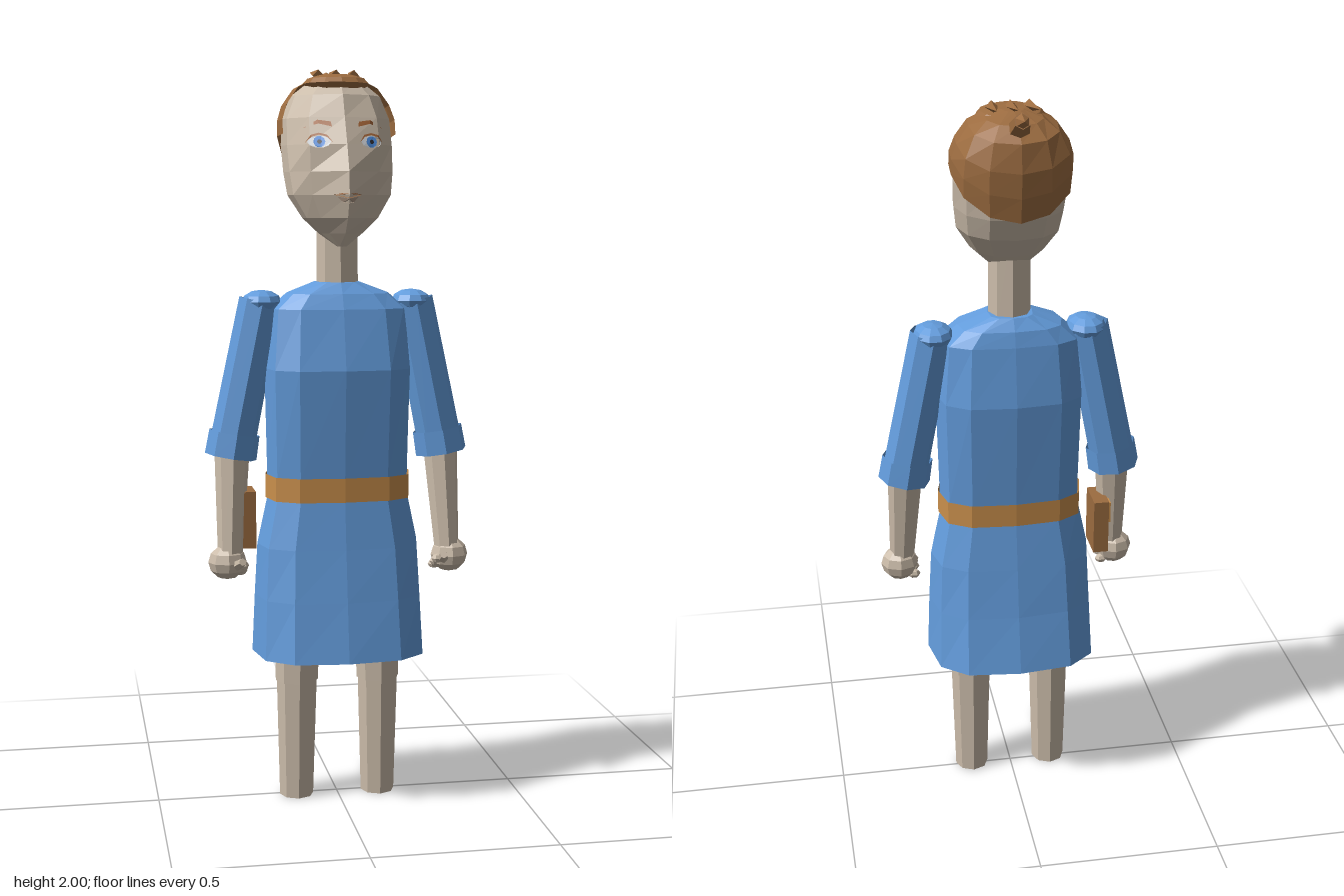
import * as THREE from 'three';

const mat = (name, color) => {
  const m = new THREE.MeshStandardMaterial({ color, flatShading: true, side: THREE.DoubleSide });
  m.name = name;
  return m;
};
const V = (x, y, z) => new THREE.Vector3(x, y, z);

// Surface from equal-length rows of points; wrap joins row ends, caps close bottom and top
function loft(rows, wrap = true, capBottom = false, capTop = false) {
  const pos = [], n = rows[0].length;
  const tri = (...p) => p.forEach(v => pos.push(v.x, v.y, v.z));
  for (let r = 0; r < rows.length - 1; r++) {
    for (let i = 0; i < (wrap ? n : n - 1); i++) {
      const j = (i + 1) % n, lo = rows[r], hi = rows[r + 1];
      tri(lo[i], lo[j], hi[j]);
      tri(lo[i], hi[j], hi[i]);
    }
  }
  const cap = (row, up) => {
    const c = row.reduce((s, p) => s.add(p), V(0, 0, 0)).divideScalar(n);
    for (let i = 0; i < n; i++) {
      const a = row[i], b = row[(i + 1) % n];
      up ? tri(c, a, b) : tri(c, b, a);
    }
  };
  if (capBottom) cap(rows[0], false);
  if (capTop) cap(rows[rows.length - 1], true);
  const g = new THREE.BufferGeometry();
  g.setAttribute('position', new THREE.Float32BufferAttribute(pos, 3));
  g.computeVertexNormals();
  return g;
}

// Linear blend in a table of [y, halfWidth, zFront, zBack, ...]
function sample(table, y) {
  let i = 0;
  while (i < table.length - 2 && y > table[i + 1][0]) i++;
  const a = table[i], b = table[i + 1];
  const t = THREE.MathUtils.clamp((y - a[0]) / (b[0] - a[0]), 0, 1);
  return a.map((v, k) => v + (b[k] - v) * t);
}

// Mirrors a half outline (front to back along +x) into a full ring
const mirrorHalf = half => [...half, ...half.slice(1, -1).reverse().map(([u, v]) => [-u, v])];
const place = ([y, w, f, b], [u, v]) => V(u * w, y, (f + b) / 2 + v * (f - b) / 2);

const tunicOutline = mirrorHalf([[0, 1], [0.61, 0.92], [0.91, 0.63], [1, 0], [0.91, -0.63], [0.61, -0.92], [0, -1]]);
const tunicRows = [
  [0.42, 0.237, 0.205, -0.185], [0.58, 0.23, 0.178, -0.15], [0.72, 0.222, 0.155, -0.126], [0.85, 0.194, 0.136, -0.103],
  [0.91, 0.194, 0.136, -0.103], [1.2, 0.2, 0.153, -0.115], [1.36, 0.186, 0.115, -0.09], [1.4, 0.14, 0.095, -0.078],
  [1.43, 0.06, 0.07, -0.055],
];

// Last column: how far forward the cheeks sit
const headRows = [
  [1.525, 0.012, 0.1, 0.07, 0.5], [1.56, 0.058, 0.138, -0.02, 0.5], [1.6, 0.1, 0.175, -0.06, 0.5],
  [1.66, 0.137, 0.2, -0.115, 0.52], [1.72, 0.145, 0.193, -0.145, 0.62], [1.79, 0.148, 0.163, -0.163, 0.78],
  [1.86, 0.145, 0.127, -0.163, 0.8], [1.92, 0.12, 0.098, -0.14, 0.75], [1.955, 0.075, 0.06, -0.1, 0.75],
];
const headHalf = c => [[0, 1], [0.62, c], [0.95, 0.3], [1, -0.1], [0.85, -0.6], [0.5, -0.9], [0, -1]];
const hairRows = [
  [1.72, 0.15, 0.19, -0.166], [1.8, 0.156, 0.15, -0.178], [1.86, 0.155, 0.13, -0.18], [1.92, 0.134, 0.1, -0.17],
  [1.955, 0.095, 0.08, -0.13], [1.975, 0.03, 0.02, -0.07],
];

// Depth of the face at a given x and y
function faceZ(x, y) {
  const row = sample(headRows, y), pts = headHalf(row[4]).map(p => place(row, p));
  const ax = Math.abs(x), i = ax < pts[1].x ? 0 : 1;
  return THREE.MathUtils.mapLinear(ax, pts[i].x, pts[i + 1].x, pts[i].z, pts[i + 1].z);
}

export function createModel() {
  const root = new THREE.Group();
  const blue = mat('blue cloth', 0x639cdc), skin = mat('skin', 0xcbbcaa), hair = mat('brown hair', 0x9c6c40);
  const gold = mat('belt tan', 0xc98f4c), white = mat('eye white', 0xd9dde2), iris = mat('iris blue', 0x4f8fe0);
  const dark = mat('dark pupil', 0x2a2a30), brow = mat('brow brown', 0xa8683a), lip = mat('lip', 0xb09a88);

  const add = (name, geo, m, parent = root) => {
    const mesh = new THREE.Mesh(geo, m);
    mesh.name = name;
    parent.add(mesh);
    return mesh;
  };
  // Tapered cylinder between two points
  const limb = (name, a, b, ra, rb, m, sides = 8, open = false, parent = root) => {
    const g = new THREE.CylinderGeometry(rb, ra, a.distanceTo(b), sides, 1, open);
    const mesh = add(name, g, m, parent);
    mesh.position.copy(a).lerp(b, 0.5);
    mesh.quaternion.setFromUnitVectors(V(0, 1, 0), b.clone().sub(a).normalize());
    return mesh;
  };
  const ball = (name, p, s, m, w = 8, h = 6, parent = root) => {
    const mesh = add(name, new THREE.SphereGeometry(1, w, h), m, parent);
    mesh.position.copy(p);
    mesh.scale.copy(s);
    return mesh;
  };
  // Thin painted shape that follows the face
  const patch = (name, pts, m, lift) => {
    const g = new THREE.ShapeGeometry(new THREE.Shape(pts.map(p => new THREE.Vector2(...p))));
    const p = g.attributes.position;
    for (let i = 0; i < p.count; i++) p.setZ(i, faceZ(p.getX(i), p.getY(i)) + lift);
    g.computeVertexNormals();
    add(name, g, m);
  };
  const oval = (cx, cy, rx, ry, n = 10) => Array.from({ length: n }, (_, i) => {
    const a = i / n * Math.PI * 2;
    return [cx + rx * Math.cos(a), cy + ry * Math.sin(a)];
  });

  // Tunic and belt
  add('tunic', loft(tunicRows.map(r => tunicOutline.map(p => place(r, p))), true, false, true), blue);
  const beltRows = [0.847, 0.912].map(y => [y, 0.199, 0.141, -0.108]);
  add('belt', loft(beltRows.map(r => tunicOutline.map(p => place(r, p)))), gold);

  // Pouch on the right hip
  const pouch = add('pouch', new THREE.BoxGeometry(0.042, 0.155, 0.1), hair);
  pouch.position.set(-0.25, 0.79, 0);
  const flap = add('pouchFlap', new THREE.BoxGeometry(0.008, 0.06, 0.08), gold);
  flap.position.set(-0.274, 0.83, 0);

  // Neck and head
  limb('neck', V(0, 1.4, 0.01), V(0, 1.68, 0.01), 0.057, 0.055, skin);
  add('head', loft(headRows.map(r => mirrorHalf(headHalf(r[4])).map(p => place(r, p))), true, true, true), skin);

  // Hair shell with a hairline dropping toward the nape
  const half = [[0.97, 0.4, 1.82], [1, -0.1, 1.815], [0.87, -0.6, 1.775], [0.5, -0.9, 1.735], [0, -1, 1.72]];
  const columns = [...half, ...half.slice(0, -1).reverse().map(([u, v, y]) => [-u, v, y])];
  const levels = [0, 0.25, 0.5, 0.78, 0.92, 1];
  add('hair', loft(levels.map(t => columns.map(([u, v, y]) =>
    place(sample(hairRows, y + (1.975 - y) * t), [u, v]))), false), hair);
  ball('hairTop', V(0, 1.952, -0.005), V(0.09, 0.027, 0.095), hair, 12, 6);
  for (const x of [-0.05, 0, 0.05]) limb('hairStrand', V(x * 0.95, 1.974, -0.005), V(x * 1.05, 1.99, -0.115), 0.016, 0.001, hair, 4);
  limb('cowlick', V(0, 1.95, -0.135), V(0, 1.978, -0.178), 0.028, 0.021, hair, 6);
  limb('cowlickTip', V(0, 1.974, -0.172), V(0, 1.985, -0.21), 0.022, 0.001, hair, 6);

  // Mouth, with points on the centre ridge
  patch('mouth', [[-0.037, 1.66], [0, 1.651], [0.037, 1.66], [0.018, 1.664], [0, 1.662], [-0.018, 1.664]], brow, 0.004);
  patch('lowerLip', [[-0.028, 1.655], [-0.014, 1.641], [0, 1.638], [0.014, 1.641], [0.028, 1.655], [0, 1.65]], lip, 0.003);

  for (const s of [-1, 1]) {
    // Eyes and brows
    const ex = 0.069 * s, ey = 1.796;
    patch('eyeWhite', oval(ex, ey, 0.029, 0.016), white, 0.003);
    patch('iris', oval(ex, ey, 0.015, 0.015), iris, 0.005);
    patch('pupil', oval(ex, ey, 0.006, 0.006, 8), dark, 0.007);
    patch('eyelid', [[-0.034, -0.002], [-0.018, 0.013], [0, 0.018], [0.018, 0.013], [0.034, -0.002],
      [0.02, 0.018], [0, 0.023], [-0.02, 0.018]].map(([x, y]) => [ex + x, ey + y]), brow, 0.006);
    patch('eyebrow', [[0.035, 1.835], [0.068, 1.843], [0.106, 1.832], [0.07, 1.853], [0.037, 1.848]]
      .map(([x, y]) => [x * s, y]), brow, 0.005);

    // Arm: sleeve, cuff, forearm and hand
    const arm = new THREE.Group();
    arm.name = s > 0 ? 'leftArm' : 'rightArm';
    root.add(arm);
    const P = (x, y, z) => V(x * s, y, z);
    ball('shoulder', P(0.205, 1.378, 0.003), V(0.054, 0.031, 0.066), blue, 10, 6, arm);
    limb('sleeve', P(0.29, 0.98, 0.006), P(0.208, 1.38, 0.004), 0.062, 0.058, blue, 8, true, arm);
    limb('cuff', P(0.292, 0.96, 0.007), P(0.281, 1.025, 0.006), 0.071, 0.069, blue, 8, true, arm);
    limb('forearm', P(0.3, 0.7, 0.05), P(0.287, 1.02, 0.004), 0.034, 0.05, skin, 8, false, arm);
    ball('hand', P(0.308, 0.678, 0.048), V(0.052, 0.048, 0.048), skin, 8, 6, arm);
    limb('thumb', P(0.285, 0.672, 0.075), P(0.275, 0.692, 0.125), 0.015, 0.01, skin, 6, false, arm);
    for (let i = 0; i < 3; i++) ball('finger', P(0.27, 0.648 + i * 0.012, 0.03 + i * 0.022), V(0.018, 0.013, 0.015), skin, 6, 4, arm);

    // Leg: thigh and shin
    limb('shin', P(0.115, 0, 0.008), P(0.114, 0.335, 0.013), 0.047, 0.056, skin);
    limb('thigh', P(0.114, 0.33, 0.013), P(0.108, 0.75, 0.015), 0.059, 0.07, skin);
  }
  return root;
}
